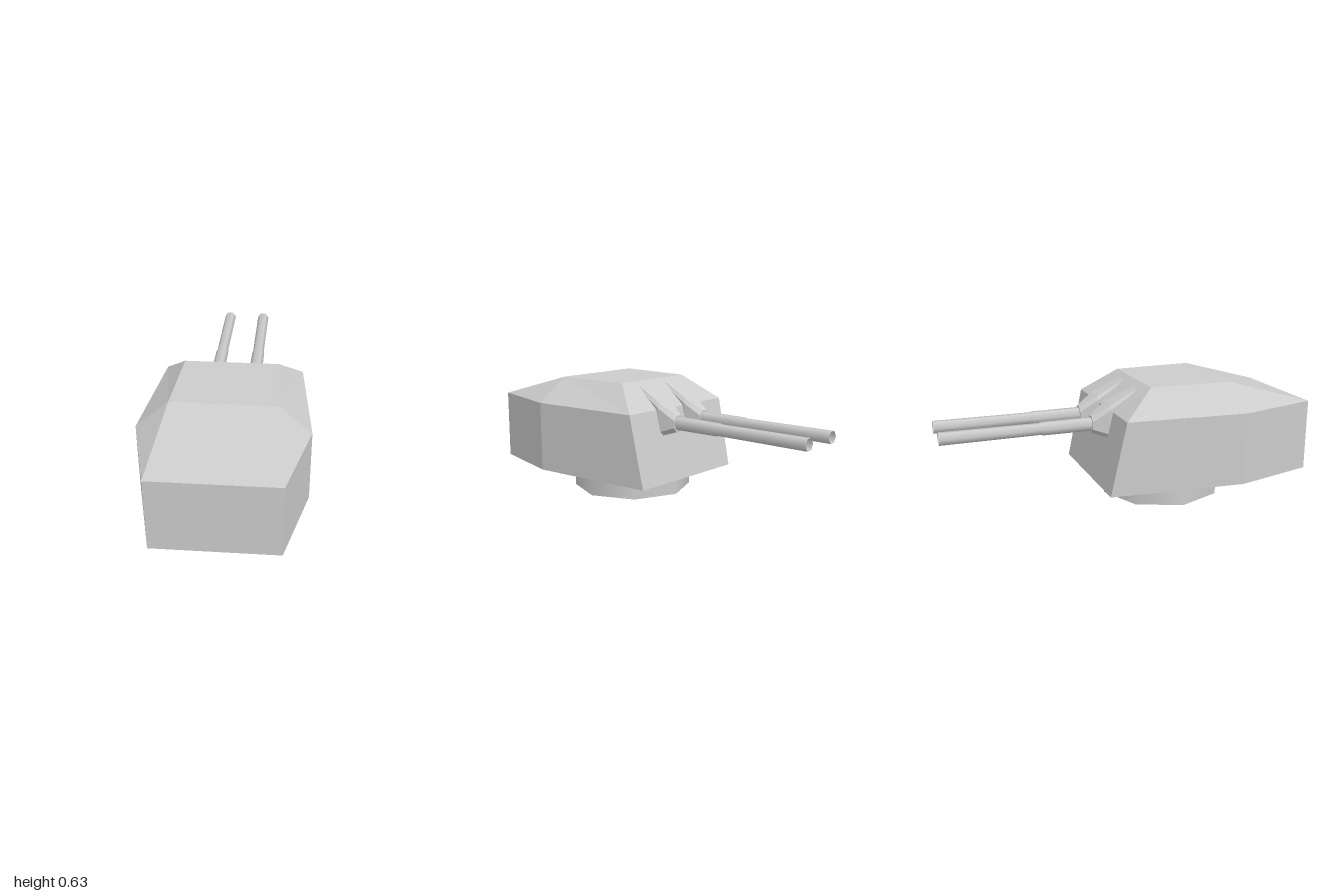
import * as THREE from 'three';

const grey = (opts = {}) => new THREE.MeshStandardMaterial({ color: 0xcccccc, ...opts });

// Closed skin through rings of equal point count; diagonals are mirrored between the two halves
function loft(rings) {
  const pos = [];
  const tri = (...pts) => pts.forEach((p) => pos.push(...p));
  const n = rings[0].length;
  for (let r = 0; r < rings.length - 1; r++) {
    for (let i = 0; i < n; i++) {
      const j = (i + 1) % n;
      const a = rings[r][i], b = rings[r][j], c = rings[r + 1][j], d = rings[r + 1][i];
      if (i < n / 2) { tri(a, c, b); tri(a, d, c); }
      else { tri(a, d, b); tri(b, d, c); }
    }
  }
  const first = rings[0], last = rings[rings.length - 1];
  for (let i = 1; i < n - 1; i++) {
    tri(first[0], first[i], first[i + 1]);
    tri(last[0], last[i + 1], last[i]);
  }
  const geo = new THREE.BufferGeometry();
  geo.setAttribute('position', new THREE.Float32BufferAttribute(pos, 3));
  geo.computeVertexNormals();
  return geo;
}

// Symmetric six-point outline at height y from three [halfWidth, z] stations
const outline = (y, stations) => [
  ...stations.map(([w, z]) => [w, y, z]),
  ...stations.slice().reverse().map(([w, z]) => [-w, y, z]),
];

// Chamfered rectangle in the xy plane; k sets how square it is
const section = (z, yLow, yHigh, w, k) => {
  const cy = (yLow + yHigh) / 2, h = (yHigh - yLow) / 2;
  return [[1, -k], [1, k], [k, 1], [-k, 1], [-1, k], [-1, -k], [-k, -1], [k, -1]]
    .map(([x, y]) => [x * w, cy + y * h, z]);
};

export function createModel() {
  const turret = new THREE.Group();
  turret.name = 'turret';
  const add = (parent, name, geo, mat) => {
    const mesh = new THREE.Mesh(geo, mat);
    mesh.name = name;
    parent.add(mesh);
    return mesh;
  };

  // Armoured housing: sloped gun face, flared waist, roof tapering to the rear
  add(turret, 'housing', loft([
    outline(0.115, [[0.369, -0.419], [0.43, 0.297], [0.313, 0.74]]),
    outline(0.497, [[0.377, -0.335], [0.43, 0.297], [0.313, 0.74]]),
    outline(0.63, [[0.248, -0.159], [0.266, 0.277], [0.266, 0.277]]),
  ]), grey({ flatShading: true }));

  // Open eight-sided turning ring
  const ring = new THREE.CylinderGeometry(0.33, 0.33, 0.115, 8, 1, true);
  add(turret, 'turningRing', ring, grey({ side: THREE.DoubleSide })).position.y = 0.0575;

  // Pair of guns, each with a mantlet, a sleeve and a barrel
  const mantletGeo = loft([
    section(-0.19, 0.45, 0.608, 0.043, 0.85),
    section(-0.345, 0.355, 0.53, 0.064, 0.75),
    section(-0.437, 0.385, 0.472, 0.04, 0.45),
  ]);
  const barrelProfile = [[0.037, -0.42], [0.036, -0.69], [0.032, -0.71], [0.034, -1.21]]
    .map(([r, z]) => new THREE.Vector2(r, -z));
  const barrelGeo = new THREE.LatheGeometry(barrelProfile, 6, Math.PI / 2);
  barrelGeo.rotateX(-Math.PI / 2);
  for (const side of [-1, 1]) {
    const gun = new THREE.Group();
    gun.name = side > 0 ? 'leftGun' : 'rightGun';
    gun.position.x = side * 0.108;
    add(gun, 'mantlet', mantletGeo, grey({ flatShading: true }));
    add(gun, 'barrel', barrelGeo, grey({ side: THREE.DoubleSide })).position.y = 0.43;
    turret.add(gun);
  }

  // The whole turret is trained slightly to one side
  turret.rotation.y = THREE.MathUtils.degToRad(13);
  turret.position.set(-0.02, 0, 0.205);

  const model = new THREE.Group();
  model.name = 'gunTurret';
  model.add(turret);
  return model;
}
